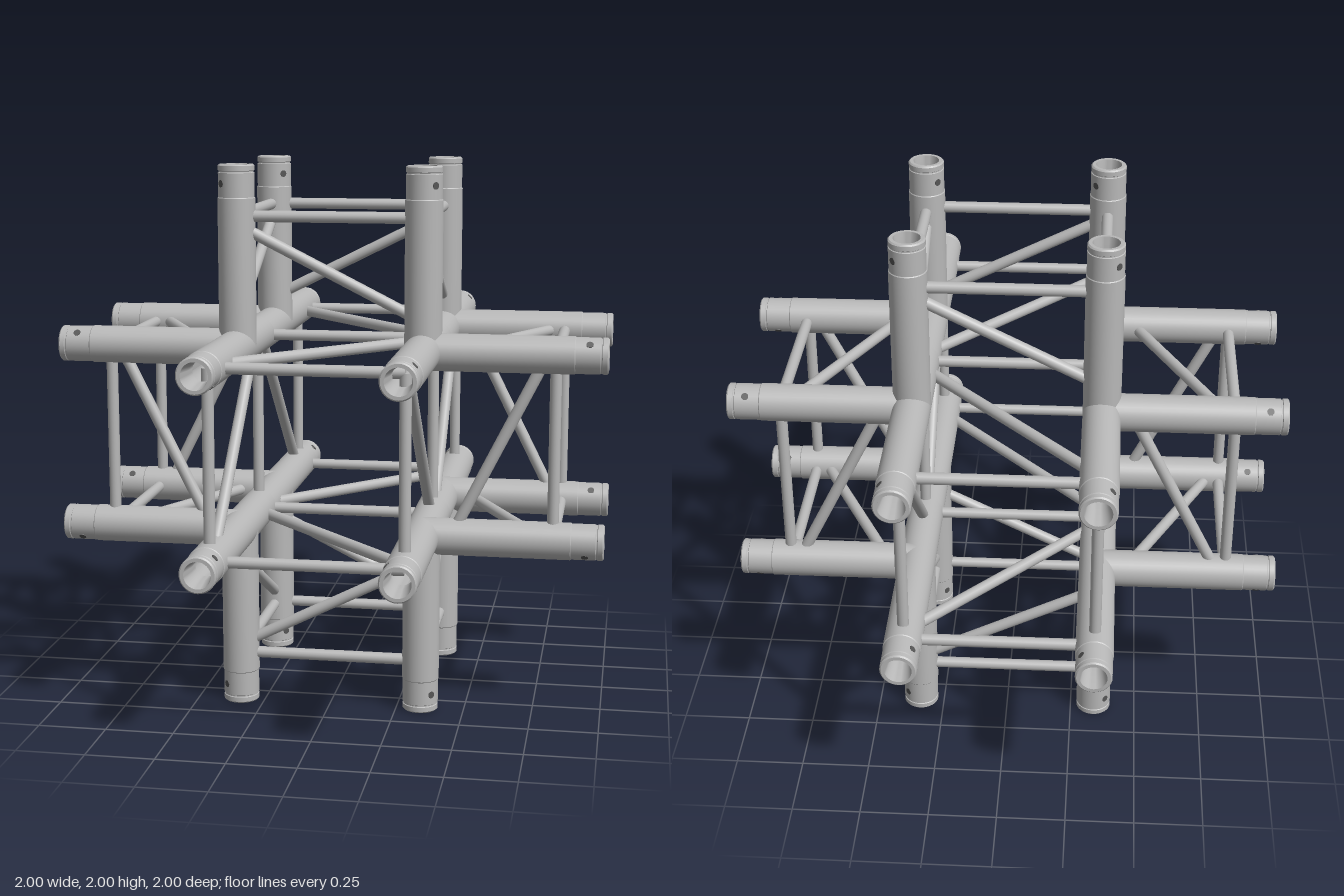
import * as THREE from 'three';
import { toCreasedNormals } from 'three/addons/utils/BufferGeometryUtils.js';

const C = 0.339;      // chord offset from the centre
const R = 0.068;      // chord radius
const SLEEVE = 0.0655; // end sleeve radius
const BAR = 0.021;    // brace radius

// Hollow chord along +y with an end sleeve; the saddle cut fits it onto a tube running along z
function chordGeometry(length, saddle) {
  const L = length;
  const profile = [
    [R, 0], [R, L - 0.12], [SLEEVE, L - 0.117],
    [SLEEVE, L - 0.03], [SLEEVE - 0.003, L - 0.028], [SLEEVE - 0.003, L - 0.024], [SLEEVE, L - 0.022],
    [SLEEVE, L - 0.005], [SLEEVE - 0.005, L],
    [0.048, L], [0.038, L - 0.08], [0.038, L - 0.13], [0.05, L - 0.13],
    [0.05, saddle ? 0.06 : 0],
  ].map(([x, y]) => new THREE.Vector2(x, y));
  const geometry = new THREE.LatheGeometry(profile, 32);
  if (saddle) {
    const p = geometry.attributes.position;
    for (let i = 0; i < p.count; i++) {
      if (p.getY(i) === 0) p.setY(i, Math.sqrt(Math.max(0, R * R - p.getX(i) ** 2)) * 0.97);
    }
  }
  return toCreasedNormals(geometry, 0.5);
}

export function createModel() {
  const model = new THREE.Group();
  model.name = 'sixWayTrussCorner';
  const aluminium = new THREE.MeshStandardMaterial({ color: 0xb8b8b8 });
  aluminium.name = 'aluminium';
  const holeGrey = new THREE.MeshStandardMaterial({ color: 0x555555 });
  holeGrey.name = 'holeGrey';

  const units = [new THREE.Vector3(1, 0, 0), new THREE.Vector3(0, 1, 0), new THREE.Vector3(0, 0, 1)];
  const up = units[1];
  const armGeometry = chordGeometry(1 - C, true);
  const halfGeometry = chordGeometry(1, false);
  const holeGeometry = new THREE.CylinderGeometry(0.013, 0.013, 0.004, 16);

  // Chords: full-length tubes along z, stub arms along x and y at every corner
  function addChord(axis, corner) {
    const along = axis === 2;
    const sign = corner.getComponent(axis);
    const dir = units[axis].clone().multiplyScalar(sign);
    const side = along ? units[0] : units[2];
    const across = dir.clone().cross(side);
    const chord = new THREE.Group();
    chord.name = ['sideChord', 'verticalChord', 'throughChord'][axis];
    chord.quaternion.setFromRotationMatrix(new THREE.Matrix4().makeBasis(across, dir, side));
    chord.position.copy(corner).multiplyScalar(C);
    if (along) chord.position.z = 0;
    const tube = new THREE.Mesh(along ? halfGeometry : armGeometry, aluminium);
    tube.name = 'chordTube';
    chord.add(tube);

    // Pin holes on the diagonal, on both sides of the sleeve
    const diagonal = new THREE.Vector3(corner.dot(across), 0, corner.dot(side)).normalize();
    for (const s of [1, -1]) {
      const hole = new THREE.Mesh(holeGeometry, holeGrey);
      hole.name = 'pinHole';
      const out = diagonal.clone().multiplyScalar(s);
      hole.quaternion.setFromUnitVectors(up, out);
      hole.position.copy(out).multiplyScalar(SLEEVE - 0.0015);
      hole.position.y = (along ? 1 : 1 - C) - 0.068;
      chord.add(hole);
    }
    model.add(chord);
  }
  for (const x of [-1, 1]) for (const y of [-1, 1]) for (const z of [-1, 1]) {
    for (let axis = 0; axis < 3; axis++) addChord(axis, new THREE.Vector3(x, y, z));
  }

  // Round brace between two points
  function addBar(name, a, b) {
    const d = b.clone().sub(a);
    const bar = new THREE.Mesh(new THREE.CylinderGeometry(BAR, BAR, d.length(), 16), aluminium);
    bar.name = name;
    bar.position.copy(a).add(b).multiplyScalar(0.5);
    bar.quaternion.setFromUnitVectors(up, d.normalize());
    model.add(bar);
  }

  // Square frames and one diagonal per face, for the arms along each axis
  for (let axis = 0; axis < 3; axis++) {
    const w = units[axis], u = units[(axis + 1) % 3], v = units[(axis + 2) % 3];
    const turn = axis === 2 ? 1 : -1;
    const [outer, inner] = axis === 2 ? [0.77, 0.046] : [0.785, 0.445];
    for (let k = 0; k < 4; k++) {
      const c = [1, 0, -1, 0][k], s = [0, 1, 0, -1][k];
      const normal = u.clone().multiplyScalar(c).addScaledVector(v, s);
      const tangent = u.clone().multiplyScalar(-s).addScaledVector(v, c);
      const point = (t, d) => normal.clone().multiplyScalar(C).addScaledVector(tangent, t * C).addScaledVector(w, d);
      for (const end of [-1, 1]) {
        addBar('endBrace', point(-1, end * 0.815), point(1, end * 0.815));
        addBar('diagonalBrace', point(turn, end * outer), point(-turn, end * inner));
      }
      if (axis === 2) addBar('middleBrace', point(-1, 0), point(1, 0));
    }
  }

  model.position.y = 1;
  const root = new THREE.Group();
  root.name = 'trussCorner';
  root.add(model);
  return root;
}
